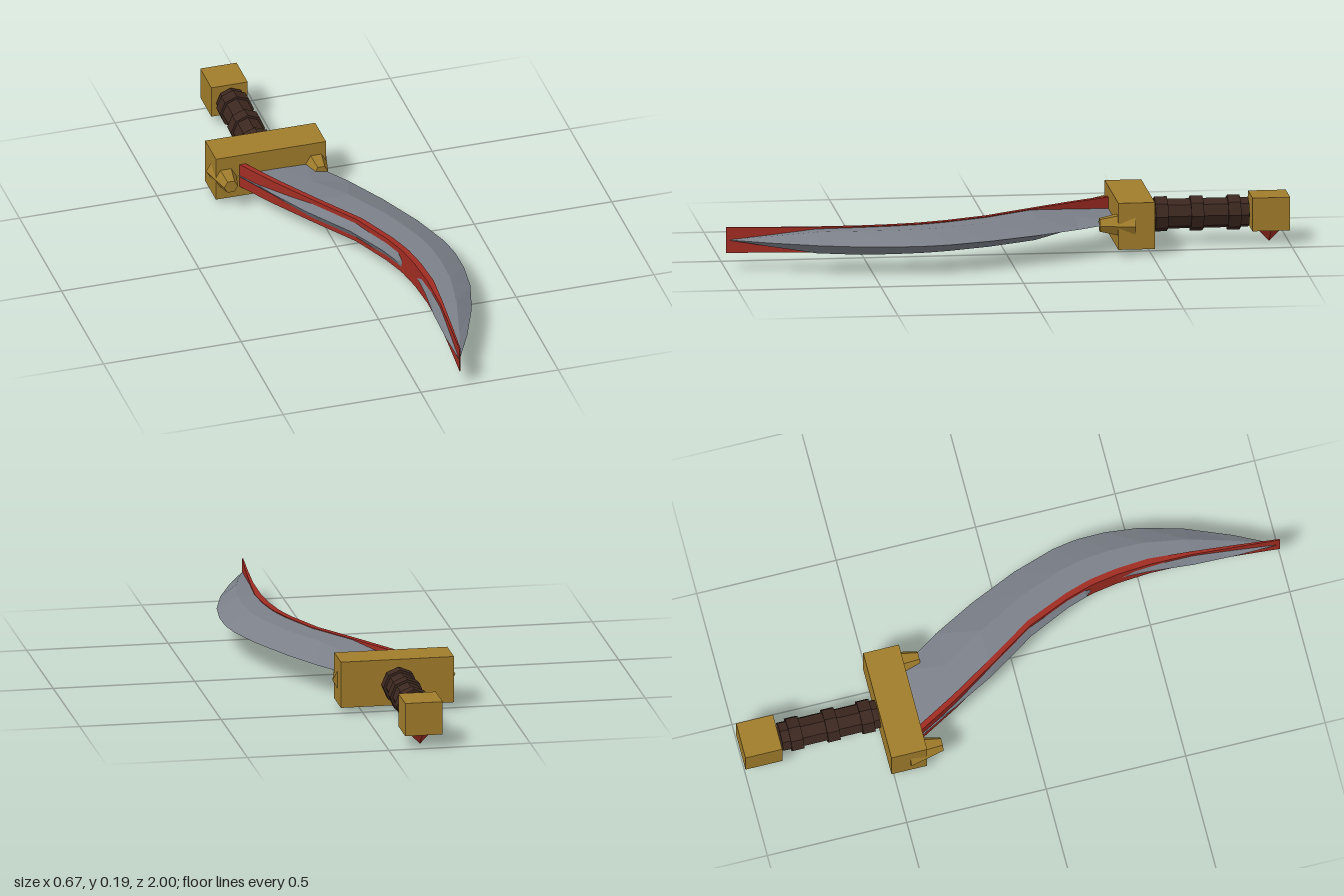
import * as THREE from 'three';

const CX = -0.122; // hilt axis
const CY = 0.105;  // mid height

const mat = (name, color) => {
  const m = new THREE.MeshStandardMaterial({ color });
  m.name = name;
  return m;
};

// Faceted normals
function facet(geo) {
  const g = geo.index ? geo.toNonIndexed() : geo;
  g.computeVertexNormals();
  return g;
}

// Skin between cross-sections (counter-clockwise seen from +z) listed along +z
function loft(sections) {
  const pos = [];
  const n = sections[0].length;
  const tri = (a, b, c) => pos.push(...a, ...b, ...c);
  for (let i = 0; i < sections.length - 1; i++) {
    for (let j = 0; j < n; j++) {
      const k = (j + 1) % n;
      const a = sections[i][j], b = sections[i][k];
      const c = sections[i + 1][k], d = sections[i + 1][j];
      tri(a, b, c);
      tri(a, c, d);
    }
  }
  const first = sections[0], last = sections[sections.length - 1];
  for (let j = 1; j < n - 1; j++) {
    tri(first[0], first[j + 1], first[j]);
    tri(last[0], last[j], last[j + 1]);
  }
  const g = new THREE.BufferGeometry();
  g.setAttribute('position', new THREE.Float32BufferAttribute(pos, 3));
  return facet(g);
}

// Cylinder lying along z, from z0 to z1
function rod(r0, r1, z0, z1, sides, turn = 0) {
  const g = new THREE.CylinderGeometry(r1, r0, z1 - z0, sides);
  g.rotateY(turn);
  g.rotateX(Math.PI / 2);
  g.translate(0, 0, (z0 + z1) / 2);
  return facet(g);
}

export function createModel() {
  const group = new THREE.Group();
  const steel = mat('steel', 0x7b8089);
  const gold = mat('gold', 0xa07c2b);
  const red = mat('red', 0xa02c22);
  const leather = mat('leather', 0x3b271f);

  const add = (name, geo, material, x = 0, y = 0, z = 0) => {
    const m = new THREE.Mesh(geo, material);
    m.name = name;
    m.position.set(x, y, z);
    group.add(m);
  };

  // Blade stations: z, inner edge x, inlay x, outer edge x, half thickness
  const stations = [
    [-0.4, -0.25, -0.235, 0.01, 0.002],
    [-0.24, -0.165, -0.145, 0.115, 0.022],
    [-0.09, -0.085, -0.052, 0.195, 0.042],
    [0.08, 0.025, 0.058, 0.27, 0.042],
    [0.23, 0.095, 0.122, 0.318, 0.042],
    [0.3, 0.118, 0.144, 0.33, 0.042],
    [0.33, 0.145, 0.152, 0.333, 0.042],
    [0.42, 0.158, 0.167, 0.334, 0.042],
    [0.54, 0.155, 0.176, 0.321, 0.042],
    [0.69, 0.142, 0.17, 0.28, 0.038],
    [0.85, 0.138, 0.157, 0.215, 0.018],
    [0.99, 0.141, 0.143, 0.145, 0.001],
  ];
  add('blade', loft(stations.map(([z, inner, inlay, outer, t]) => {
    const ridge = (inlay + outer) / 2;
    return [
      [inner, CY, z], [inlay, CY - t, z], [ridge, CY - t, z],
      [outer, CY, z], [ridge, CY + t, z], [inlay, CY + t, z],
    ];
  })), steel);

  // Inlaid strip following the inner side of the blade
  add('bladeInlay', loft(stations.map(([z, , x], i) => {
    const w = i > 8 ? 0.006 - (i - 9) * 0.002 : 0.011;
    const end = i === stations.length - 1 ? 1 : z;
    return [
      [x - w, CY - 0.045, end], [x + w, CY - 0.045, end],
      [x + w, CY + 0.045, end], [x - w, CY + 0.045, end],
    ];
  })), red);

  // Guard with a pair of blunt studs
  add('guard', new THREE.BoxGeometry(0.4, 0.165, 0.128), gold, CX, CY, -0.446);
  for (const side of [-1, 1]) {
    add(side < 0 ? 'rightStud' : 'leftStud',
      rod(0.0535, 0.025, -0.442, -0.32, 6, Math.PI / 2), gold, CX + side * 0.164, CY, 0);
  }

  // Grip with raised bands
  add('grip', rod(0.053, 0.053, -0.86, -0.5, 8), leather, CX, CY, 0);
  for (const z of [-0.553, -0.678, -0.808]) {
    add('gripBand', rod(0.062, 0.062, z - 0.022, z + 0.022, 8), leather, CX, CY, 0);
  }

  // Pommel and the gem set beneath it
  add('pommel', new THREE.BoxGeometry(0.132, 0.118, 0.132), gold, CX - 0.002, CY + 0.002, -0.934);
  add('pommelGem', facet(new THREE.OctahedronGeometry(0.046)), red, CX, 0.046, -0.934);

  return group;
}
